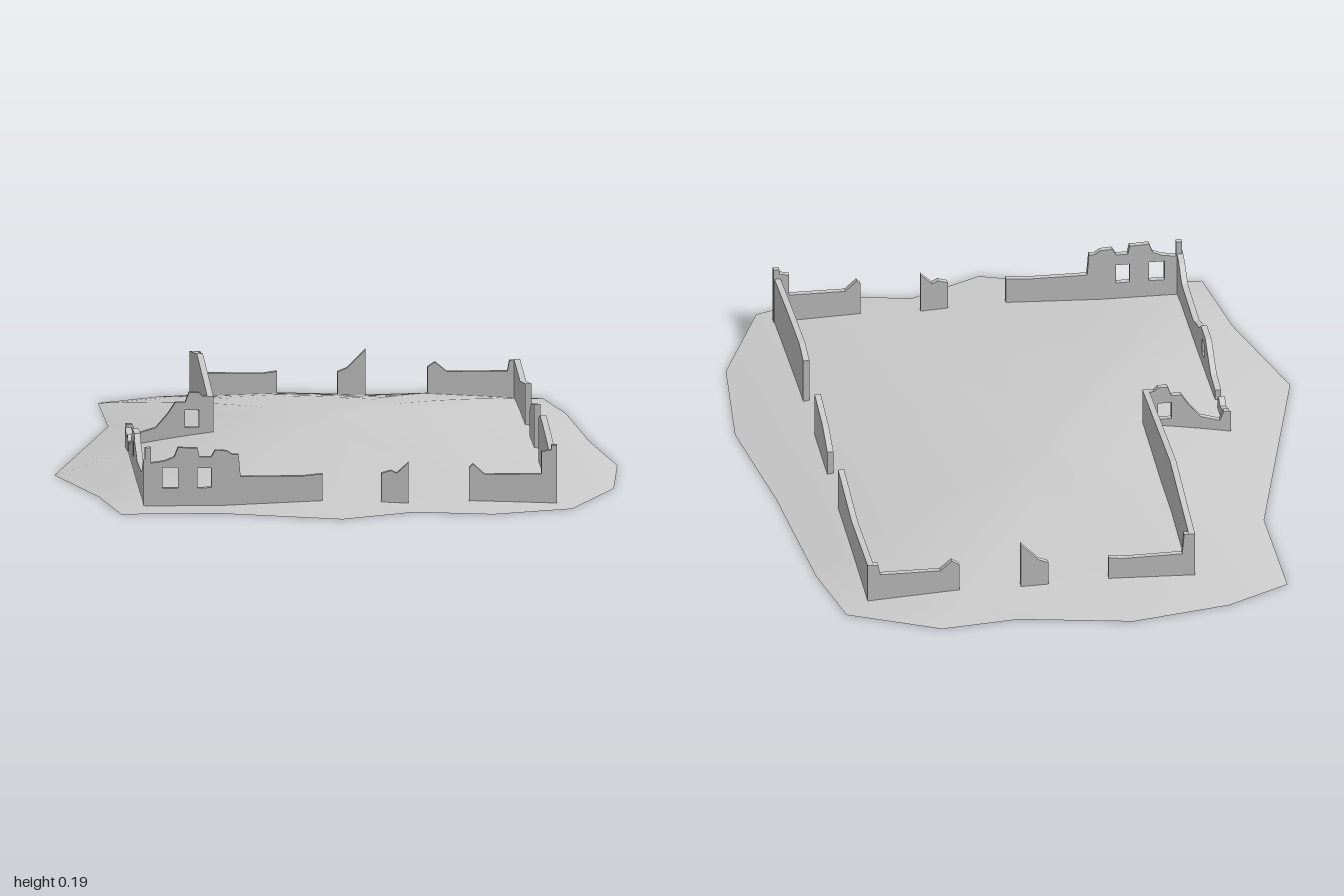
import * as THREE from 'three';

const THICK = 0.016;

export function createModel() {
  const root = new THREE.Group();
  const stone = new THREE.MeshStandardMaterial({ color: 0xcccccc, flatShading: true });
  const earth = new THREE.MeshStandardMaterial({ color: 0xcccccc, side: THREE.DoubleSide });

  // Low mound: rings of an uneven outline rising to a gentle crown
  const outline = [
    [-0.55, -0.85], [-0.385, -0.945], [-0.13, -1], [0.16, -0.945], [0.36, -0.97], [0.59, -0.855],
    [0.635, -0.62], [0.67, -0.18], [0.72, 0.2], [0.69, 0.56], [0.565, 0.87], [0.36, 0.945],
    [0.16, 0.9], [-0.03, 1], [-0.34, 0.89], [-0.59, 0.89], [-0.63, 0.62], [-0.725, 0.27],
    [-0.545, -0.48],
  ];
  const crown = [-0.03, -0.15], rings = 12, n = outline.length;
  const pos = [crown[0], 0.08, crown[1]], index = [];
  for (let r = 1; r <= rings; r++) {
    const t = r / rings;
    for (const [x, z] of outline) {
      pos.push(crown[0] + (x - crown[0]) * t, 0.08 * (1 - t ** 1.7), crown[1] + (z - crown[1]) * t);
    }
  }
  for (let r = 0; r < rings; r++) {
    for (let i = 0; i < n; i++) {
      const j = (i + 1) % n, c = 1 + r * n + i, d = 1 + r * n + j;
      if (r === 0) { index.push(0, d, c); continue; }
      const a = c - n, b = d - n;
      index.push(a, d, c, a, b, d);
    }
  }
  const moundGeo = new THREE.BufferGeometry();
  moundGeo.setAttribute('position', new THREE.Float32BufferAttribute(pos, 3));
  moundGeo.setIndex(index);
  moundGeo.computeVertexNormals();
  const mound = new THREE.Mesh(moundGeo, earth);
  mound.name = 'groundMound';
  root.add(mound);

  // Ruined wall: broken top line [along, height], extruded; windows are [u0, u1, y0, y1]
  function wall(name, axis, offset, top, windows = []) {
    const first = top[0][0], last = top[top.length - 1][0];
    const shape = new THREE.Shape([[first, 0], ...top, [last, 0]].map(p => new THREE.Vector2(...p)));
    for (const [u0, u1, y0, y1] of windows) {
      shape.holes.push(new THREE.Path(
        [[u0, y0], [u1, y0], [u1, y1], [u0, y1]].map(p => new THREE.Vector2(...p))));
    }
    const geo = new THREE.ExtrudeGeometry(shape, { depth: THICK, bevelEnabled: false });
    geo.translate(0, 0, -THICK / 2);
    if (axis === 'z') geo.rotateY(-Math.PI / 2);
    const mesh = new THREE.Mesh(geo, stone);
    mesh.name = name;
    mesh.position[axis === 'x' ? 'z' : 'x'] = offset;
    root.add(mesh);
  }

  // Front walls
  wall('frontWindowWall', 'x', 0.81, [
    [-0.525, 0.16], [-0.51, 0.16], [-0.51, 0.12], [-0.475, 0.125], [-0.45, 0.135], [-0.44, 0.16],
    [-0.41, 0.158], [-0.39, 0.158], [-0.385, 0.135], [-0.355, 0.135], [-0.345, 0.152],
    [-0.315, 0.15], [-0.3, 0.14], [-0.285, 0.14], [-0.28, 0.083], [-0.12, 0.083], [-0.07, 0.088],
  ], [[-0.48, -0.44, 0.055, 0.108], [-0.39, -0.355, 0.055, 0.106]]);
  wall('frontStub', 'x', 0.81, [[0.08, 0.088], [0.105, 0.095], [0.12, 0.088], [0.15, 0.115]]);
  wall('frontCornerWall', 'x', 0.81, [
    [0.305, 0.1], [0.315, 0.11], [0.345, 0.083], [0.49, 0.083], [0.49, 0.14], [0.515, 0.145],
    [0.515, 0.157], [0.53, 0.157],
  ]);

  // Right-hand long wall in three lengths
  wall('longWallFront', 'z', 0.52, [[0.305, 0.145], [0.375, 0.16], [0.6, 0.147], [0.815, 0.13]]);
  wall('longWallMiddle', 'z', 0.52, [[-0.11, 0.09], [-0.03, 0.124], [0.11, 0.146]]);
  wall('longWallBack', 'z', 0.52, [[-0.805, 0.112], [-0.53, 0.1], [-0.295, 0.132]]);

  // Back walls
  wall('backTallCornerWall', 'x', -0.797, [
    [-0.318, 0.14], [-0.29, 0.14], [-0.285, 0.085], [-0.13, 0.083], [-0.095, 0.088],
  ]);
  wall('backStub', 'x', -0.797, [[0.06, 0.085], [0.085, 0.095], [0.132, 0.142]]);
  wall('backCornerWall', 'x', -0.797, [
    [0.29, 0.095], [0.31, 0.108], [0.34, 0.083], [0.495, 0.083], [0.5, 0.11], [0.528, 0.112],
  ]);

  // Tall recessed side wall and the short return beside it
  wall('recessedWall', 'z', -0.31, [[-0.805, 0.14], [-0.48, 0.187], [-0.02, 0.155], [-0.005, 0.155]]);
  wall('returnWall', 'x', -0.012, [
    [-0.525, 0.085], [-0.51, 0.085], [-0.5, 0.06], [-0.45, 0.075], [-0.42, 0.11], [-0.4, 0.14],
    [-0.375, 0.14], [-0.365, 0.165], [-0.34, 0.165], [-0.33, 0.155], [-0.302, 0.155],
  ], [[-0.375, -0.34, 0.075, 0.12]]);

  // Left side wall with its gap and window
  wall('sideStub', 'z', -0.52, [[-0.02, 0.085], [0.01, 0.07], [0.06, 0.06], [0.085, 0.075], [0.105, 0.06]]);
  wall('sideWindowWall', 'z', -0.52, [
    [0.145, 0.063], [0.22, 0.07], [0.27, 0.1], [0.31, 0.126], [0.39, 0.126], [0.42, 0.105],
    [0.48, 0.09], [0.52, 0.075], [0.72, 0.08], [0.77, 0.115], [0.815, 0.13],
  ], [[0.335, 0.37, 0.06, 0.1]]);

  return root;
}
